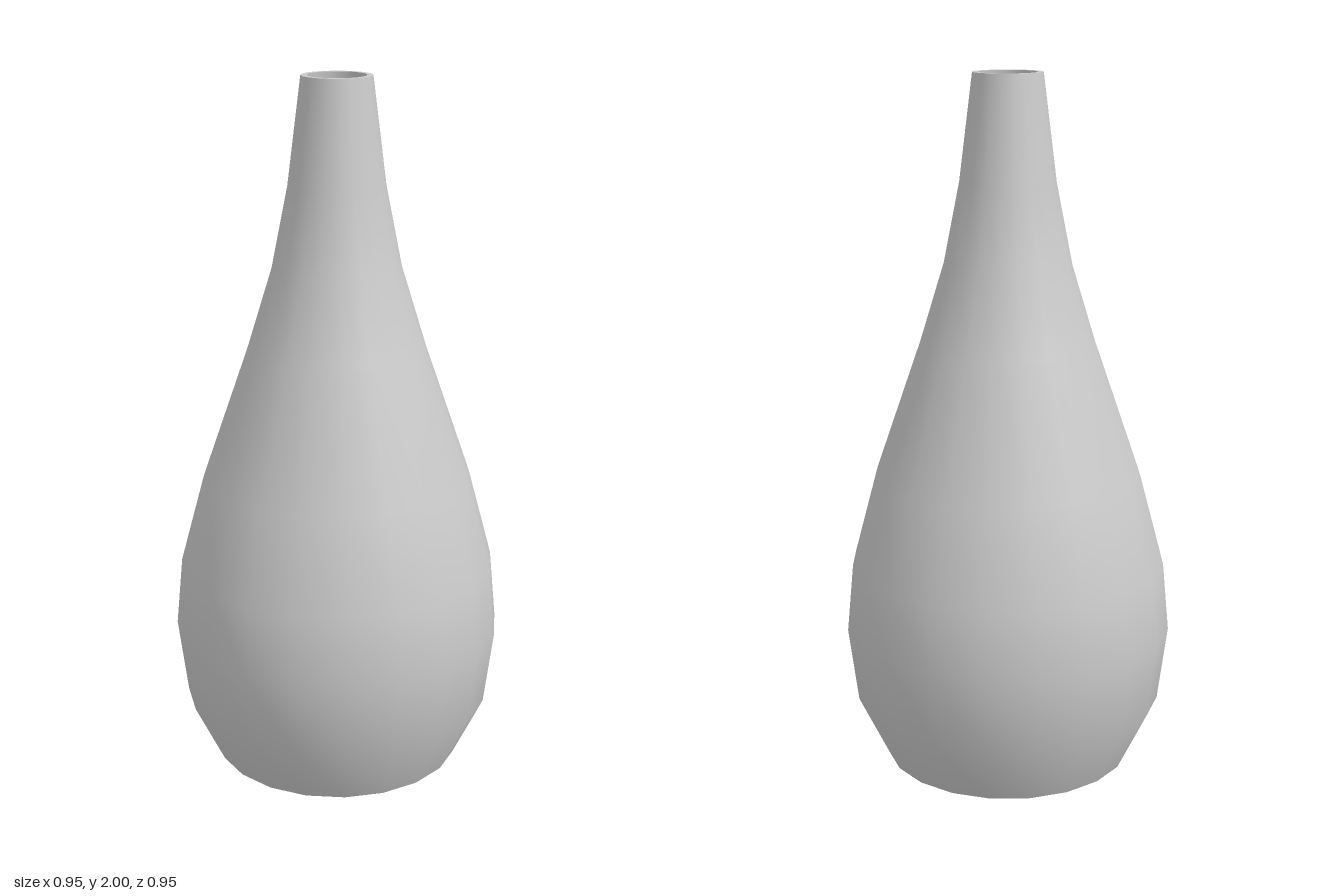
import * as THREE from 'three';

const SIDES = 20;
const WALL = 0.016;

export function createModel() {
  const group = new THREE.Group();
  group.name = 'vase';
  const material = new THREE.MeshStandardMaterial({ color: 0xcccccc });

  // Outer profile from foot to lip: [radius, height]
  const outer = [
    [0.36, 0], [0.447, 0.18], [0.475, 0.4], [0.456, 0.6], [0.386, 0.86],
    [0.254, 1.24], [0.183, 1.47], [0.137, 1.7], [0.099, 2],
  ];
  // Inner profile runs back down, one wall thickness inside
  const inner = outer.map(([r, y]) => [r - WALL, Math.max(y, WALL)]).reverse();

  // Each part is its own lathe, so the edges between parts stay sharp
  const addLathe = (name, profile) => {
    const points = profile.map(([r, y]) => new THREE.Vector2(r, y));
    const mesh = new THREE.Mesh(new THREE.LatheGeometry(points, SIDES), material);
    mesh.name = name;
    group.add(mesh);
  };

  addLathe('base', [[0, 0], outer[0]]);
  addLathe('outerWall', outer);
  addLathe('rim', [outer[outer.length - 1], inner[0]]);
  addLathe('innerWall', inner);
  addLathe('innerFloor', [inner[inner.length - 1], [0, WALL]]);

  return group;
}
